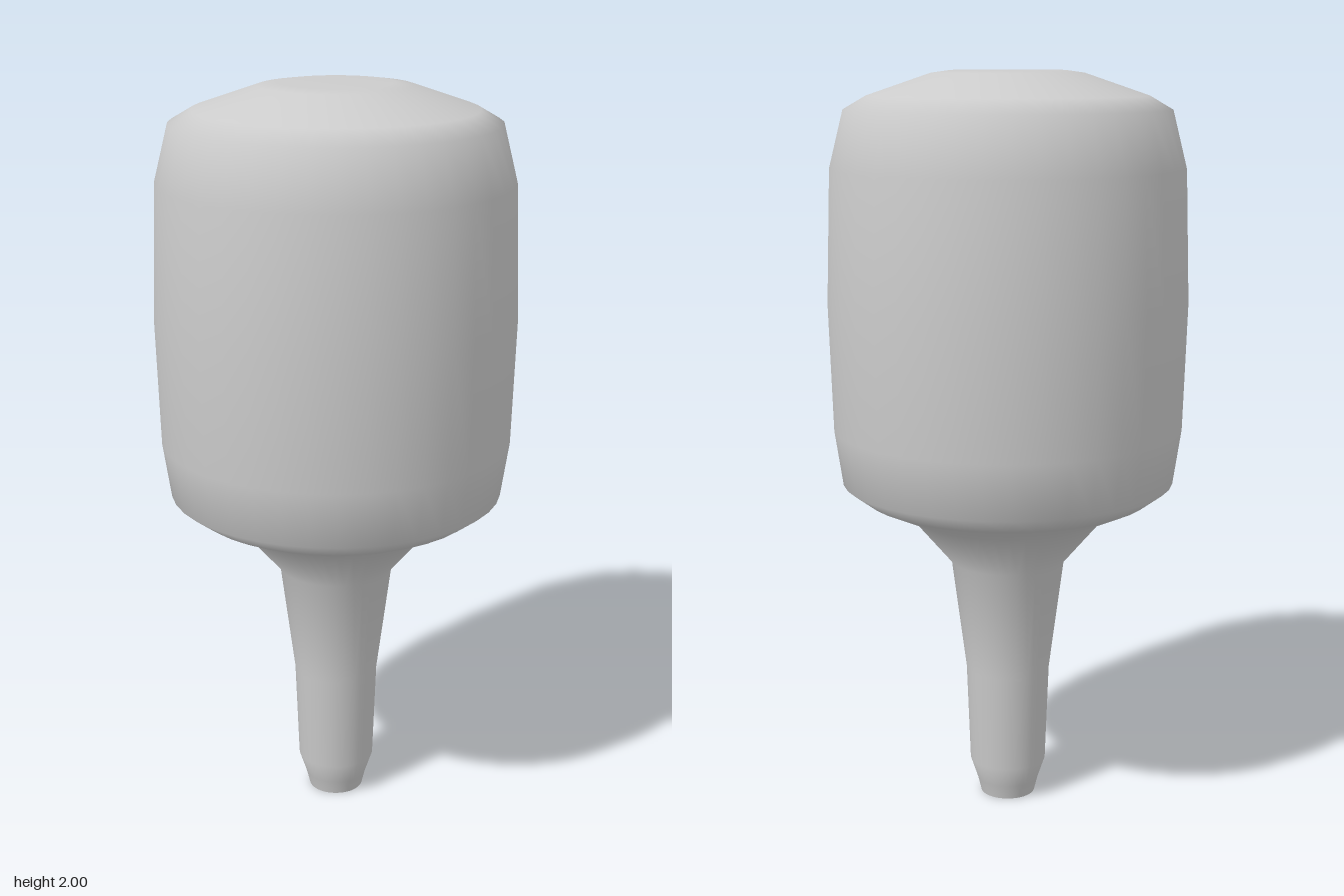
import * as THREE from 'three';

export function createModel() {
  const group = new THREE.Group();
  group.name = 'mallet';
  const material = new THREE.MeshStandardMaterial({ color: 0xcccccc });

  // Half profiles as [radius, height], from bottom to top
  const tip = [[0, 0], [0.075, 0]];
  const body = [
    // tapered handle
    [0.075, 0], [0.085, 0.04], [0.105, 0.1], [0.115, 0.37], [0.155, 0.68],
    // flared neck and underside of the head
    [0.265, 0.81], [0.39, 0.867], [0.448, 0.91],
    // barrel-shaped head
    [0.47, 1.06], [0.48, 1.4], [0.468, 1.75], [0.43, 1.9],
    // domed top
    [0.37, 1.935], [0.2, 1.993], [0.15, 2], [0, 2],
  ];

  const turn = (name, profile) => {
    const points = profile.map(([r, y]) => new THREE.Vector2(r, y));
    const mesh = new THREE.Mesh(new THREE.LatheGeometry(points, 40), material);
    mesh.name = name;
    group.add(mesh);
  };

  turn('handleAndHead', body);
  turn('handleEndCap', tip);
  return group;
}
